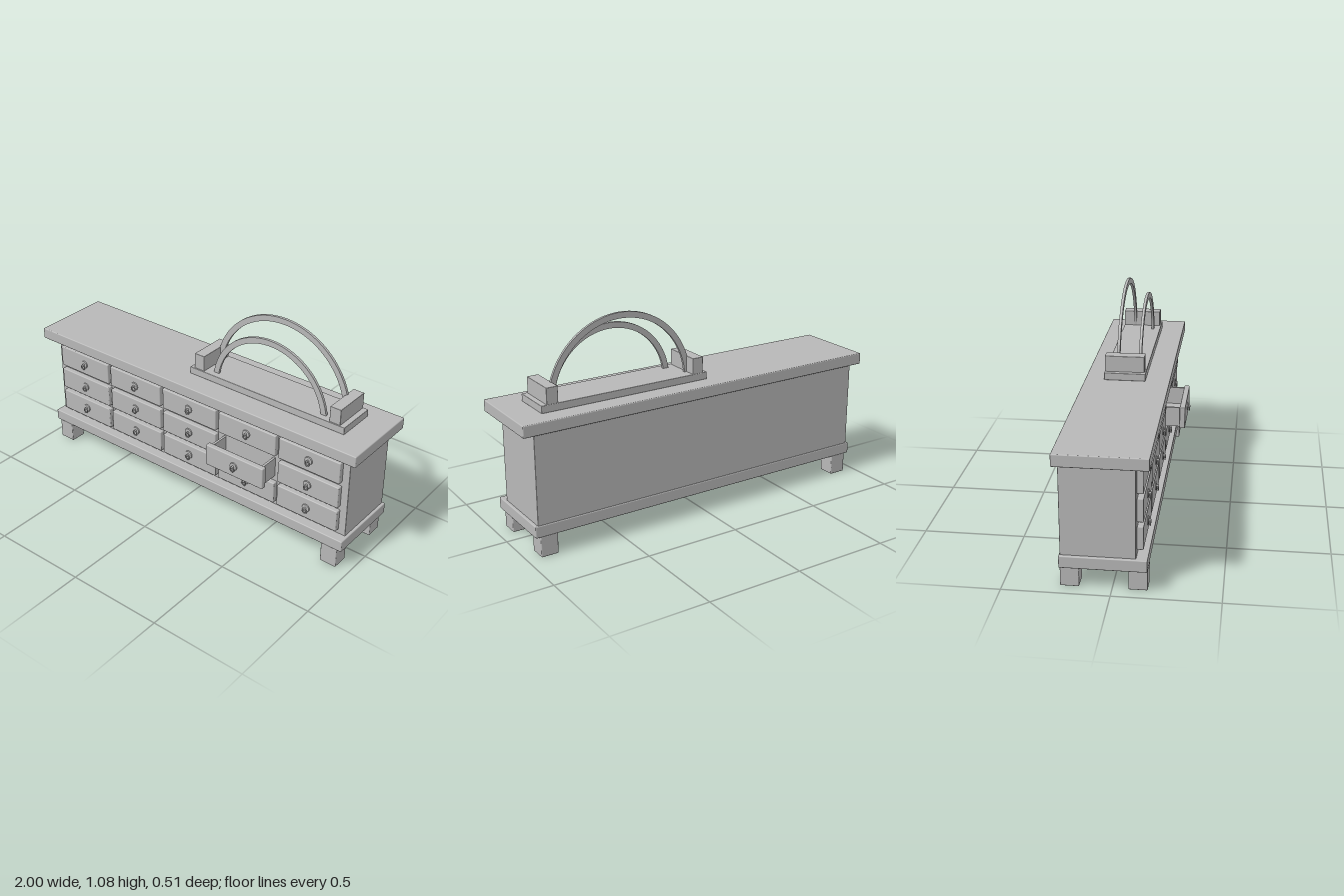
import * as THREE from 'three';
import { RoundedBoxGeometry } from 'three/addons/geometries/RoundedBoxGeometry.js';

const grey = new THREE.MeshStandardMaterial({ color: 0xb8b8b8 });
grey.name = 'plain grey';

function add(parent, name, geometry, x = 0, y = 0, z = 0) {
  const mesh = new THREE.Mesh(geometry, grey);
  mesh.name = name;
  mesh.position.set(x, y, z);
  parent.add(mesh);
  return mesh;
}

// Box given by its extents, with softened edges when bevel > 0
function block(parent, name, [x0, x1], [y0, y1], [z0, z1], bevel = 0.005) {
  const size = [x1 - x0, y1 - y0, z1 - z0];
  const geometry = bevel > 0
    ? new RoundedBoxGeometry(...size, 2, bevel)
    : new THREE.BoxGeometry(...size);
  return add(parent, name, geometry, (x0 + x1) / 2, (y0 + y1) / 2, (z0 + z1) / 2);
}

// Round plate, short stem and hanging ring
function pull(parent, z) {
  const handle = new THREE.Group();
  handle.name = 'drawerPull';
  handle.position.z = z;
  const plate = new THREE.CylinderGeometry(0.02, 0.022, 0.005, 20).rotateX(Math.PI / 2);
  add(handle, 'pullPlate', plate, 0, 0.003, 0.0025);
  const stem = new THREE.CylinderGeometry(0.006, 0.006, 0.014, 12).rotateX(Math.PI / 2);
  add(handle, 'pullStem', stem, 0, 0.004, 0.009);
  add(handle, 'pullRing', new THREE.TorusGeometry(0.012, 0.003, 8, 20), 0, -0.009, 0.012);
  parent.add(handle);
}

// Drawer front with its pull; an open one also shows its tray
function drawer(parent, x, y, open) {
  const unit = new THREE.Group();
  unit.name = open ? 'openDrawer' : 'drawer';
  unit.position.set(x, y, 0.11 + open);
  const w = 0.174, h = 0.0585;
  block(unit, 'drawerFront', [-w, w], [-h, h], [0, 0.03]);
  pull(unit, 0.03);
  if (open) {
    const s = 0.158, t = 0.012, back = -open - 0.005;
    block(unit, 'drawerFloor', [-s, s], [-0.054, -0.042], [back, 0.005], 0);
    block(unit, 'drawerSide', [-s, -s + t], [-0.054, 0.053], [back, 0.005], 0);
    block(unit, 'drawerSide', [s - t, s], [-0.054, 0.053], [back, 0.005], 0);
  }
  parent.add(unit);
}

// Flat circular arch standing on the plinth
function arch(parent, name, cy, radius, z) {
  const width = 0.03, foot = 0.718;
  const outer = Math.asin((foot - cy) / radius);
  const inner = Math.asin((foot - cy) / (radius - width));
  const shape = new THREE.Shape();
  shape.absarc(0, 0, radius, outer, Math.PI - outer, false);
  shape.absarc(0, 0, radius - width, Math.PI - inner, inner, true);
  shape.closePath();
  const geometry = new THREE.ExtrudeGeometry(shape, {
    depth: 0.014, bevelEnabled: false, curveSegments: 40,
  });
  add(parent, name, geometry, 0.4, cy, z - 0.007);
}

export function createModel() {
  const model = new THREE.Group();
  model.name = 'drawerCabinet';

  // Carcass
  block(model, 'worktop', [-1, 1], [0.62, 0.68], [-0.255, 0.175]);
  block(model, 'body', [-0.945, 0.94], [0.16, 0.625], [-0.235, 0.11], 0.003);
  block(model, 'base', [-0.96, 0.955], [0.105, 0.165], [-0.24, 0.162]);

  // Legs
  for (const x of [-0.89, 0.885]) {
    for (const z of [-0.195, 0.118]) {
      block(model, 'leg', [x - 0.045, x + 0.045], [0, 0.107], [z - 0.044, z + 0.044]);
    }
  }

  // Five columns by three rows, one drawer pulled out
  for (let col = 0; col < 5; col++) {
    [0.526, 0.387, 0.249].forEach((y, row) => {
      drawer(model, -0.0025 + (col - 2) * 0.366, y, col === 3 && row === 1 ? 0.1 : 0);
    });
  }

  // Arched stand on the worktop
  const stand = new THREE.Group();
  stand.name = 'archStand';
  block(stand, 'plinth', [-0.06, 0.858], [0.68, 0.718], [-0.157, 0.053], 0.003);
  block(stand, 'endBlock', [-0.036, 0.024], [0.715, 0.8], [-0.156, 0.046], 0.003);
  block(stand, 'endBlock', [0.77, 0.83], [0.715, 0.8], [-0.156, 0.046], 0.003);
  arch(stand, 'largeArch', 0.685, 0.395, -0.093);
  arch(stand, 'smallArch', 0.667, 0.338, 0.012);
  model.add(stand);

  return model;
}
